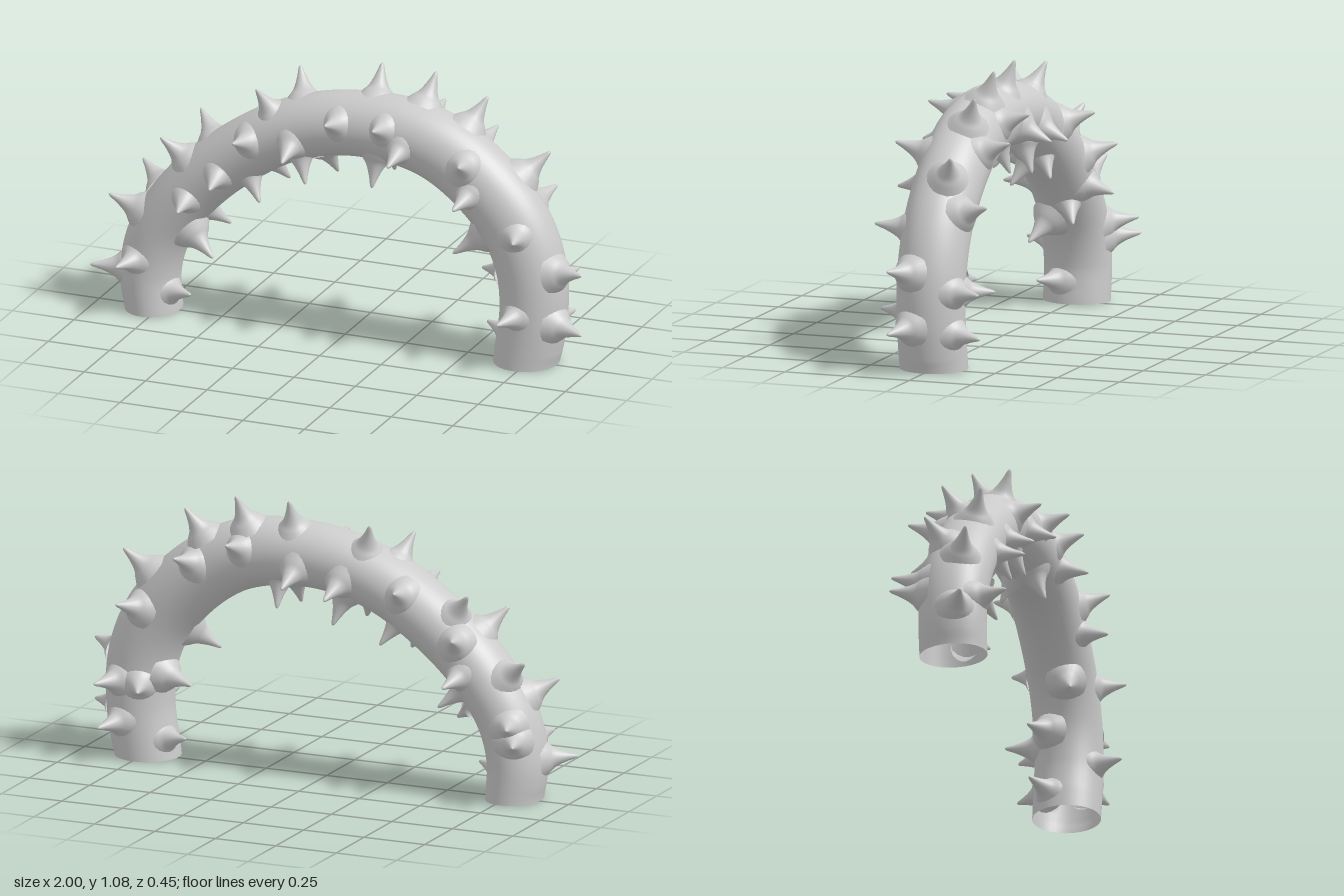
import * as THREE from 'three';
import { ParametricGeometry } from 'three/addons/geometries/ParametricGeometry.js';

// Centre line of the arch: x, y, and in-plane radius as the third value
const spine = new THREE.CatmullRomCurve3([
  [-0.778, 0, 0.107], [-0.79, 0.15, 0.114], [-0.755, 0.3, 0.118], [-0.68, 0.425, 0.118],
  [-0.57, 0.55, 0.12], [-0.43, 0.665, 0.12], [-0.27, 0.765, 0.12], [-0.1, 0.828, 0.122],
  [0.07, 0.853, 0.125], [0.25, 0.845, 0.132], [0.4, 0.8, 0.135], [0.55, 0.7, 0.137],
  [0.69, 0.545, 0.138], [0.757, 0.38, 0.135], [0.768, 0.2, 0.13], [0.738, 0, 0.127],
].map((p) => new THREE.Vector3(...p)));
const DEPTH = 0.13;

// Tip positions of the thorns, grouped by the side of the stem they grow from
const OUT = 0.09, SIDE = 0.225;
const tips = {
  outerFront: [OUT, [[-1, 0.165], [-0.925, 0.46], [-0.715, 0.715], [-0.325, 0.965], [1, 0.405], [1, 0.165]]],
  outerBack: [-OUT, [[-0.86, 0.55], [-0.625, 0.785], [-0.22, 1.015], [0.115, 1.075], [0.335, 1.07],
    [0.545, 1.0], [0.8, 0.815]]],
  front: [SIDE, [[-0.84, 0.22], [-0.59, 0.475], [-0.46, 0.585], [-0.365, 0.785], [-0.165, 0.735], [0.01, 0.91],
    [0.205, 0.915], [0.265, 0.78], [0.555, 0.82], [0.53, 0.645], [0.775, 0.545], [0.71, 0.21]]],
  back: [-SIDE, [[-0.87, 0.255], [-0.845, 0.32], [-0.62, 0.64], [-0.58, 0.455], [-0.38, 0.8], [-0.09, 0.74],
    [0.085, 0.765], [0.315, 0.91], [0.53, 0.835], [0.68, 0.295], [0.77, 0.63], [0.845, 0.14], [0.86, 0.31]]],
  innerFront: [OUT, [[-0.59, 0.1], [-0.5, 0.26], [-0.31, 0.51], [-0.125, 0.61], [0.145, 0.635], [0.475, 0.42]]],
  innerBack: [-OUT, [[-0.5, 0.34], [-0.26, 0.555], [-0.065, 0.61], [0.165, 0.65], [0.52, 0.31], [0.54, 0.1]]],
};

// Elliptical tube around the centre line, with feet cut level at the ground
function stemPoint(u, v, target) {
  const c = spine.getPoint(v);
  const t = spine.getTangent(v).setZ(0).normalize();
  const a = u * Math.PI * 2;
  const r = c.z * Math.cos(a);
  const level = Math.min(1, c.y / 0.06);
  target.set(c.x - t.y * r, c.y + t.x * r * level, DEPTH * Math.sin(a));
}

// Flared thorn: broad skirt sunk into the stem, thin pointed tip; tip at y = 0
const thornProfile = new THREE.SplineCurve([
  [0.08, -0.14], [0.058, -0.112], [0.041, -0.094], [0.028, -0.07], [0.016, -0.038], [0.007, -0.008], [0, 0],
].map((p) => new THREE.Vector2(...p))).getPoints(18);
thornProfile.forEach((p) => { p.x = Math.max(0, p.x); });

export function createModel() {
  const group = new THREE.Group();
  group.name = 'thornyArch';
  const material = new THREE.MeshStandardMaterial({ color: 0xcccccc, side: THREE.DoubleSide });

  const stem = new THREE.Mesh(new ParametricGeometry(stemPoint, 40, 120), material);
  stem.name = 'stem';
  group.add(stem);

  const thornGeometry = new THREE.LatheGeometry(thornProfile, 20);
  const samples = spine.getPoints(300).map((p) => p.setZ(0));
  const up = new THREE.Vector3(0, 1, 0);
  for (const [side, [z, list]] of Object.entries(tips)) {
    const set = new THREE.Group();
    set.name = side + 'Thorns';
    for (const [x, y] of list) {
      // Each thorn points straight away from the nearest spot on the centre line
      const tip = new THREE.Vector3(x, y, z);
      const root = samples.reduce((a, b) => (b.distanceToSquared(tip) < a.distanceToSquared(tip) ? b : a));
      const thorn = new THREE.Mesh(thornGeometry, material);
      thorn.name = 'thorn';
      thorn.position.copy(tip);
      thorn.quaternion.setFromUnitVectors(up, tip.clone().sub(root).normalize());
      set.add(thorn);
    }
    group.add(set);
  }
  return group;
}
